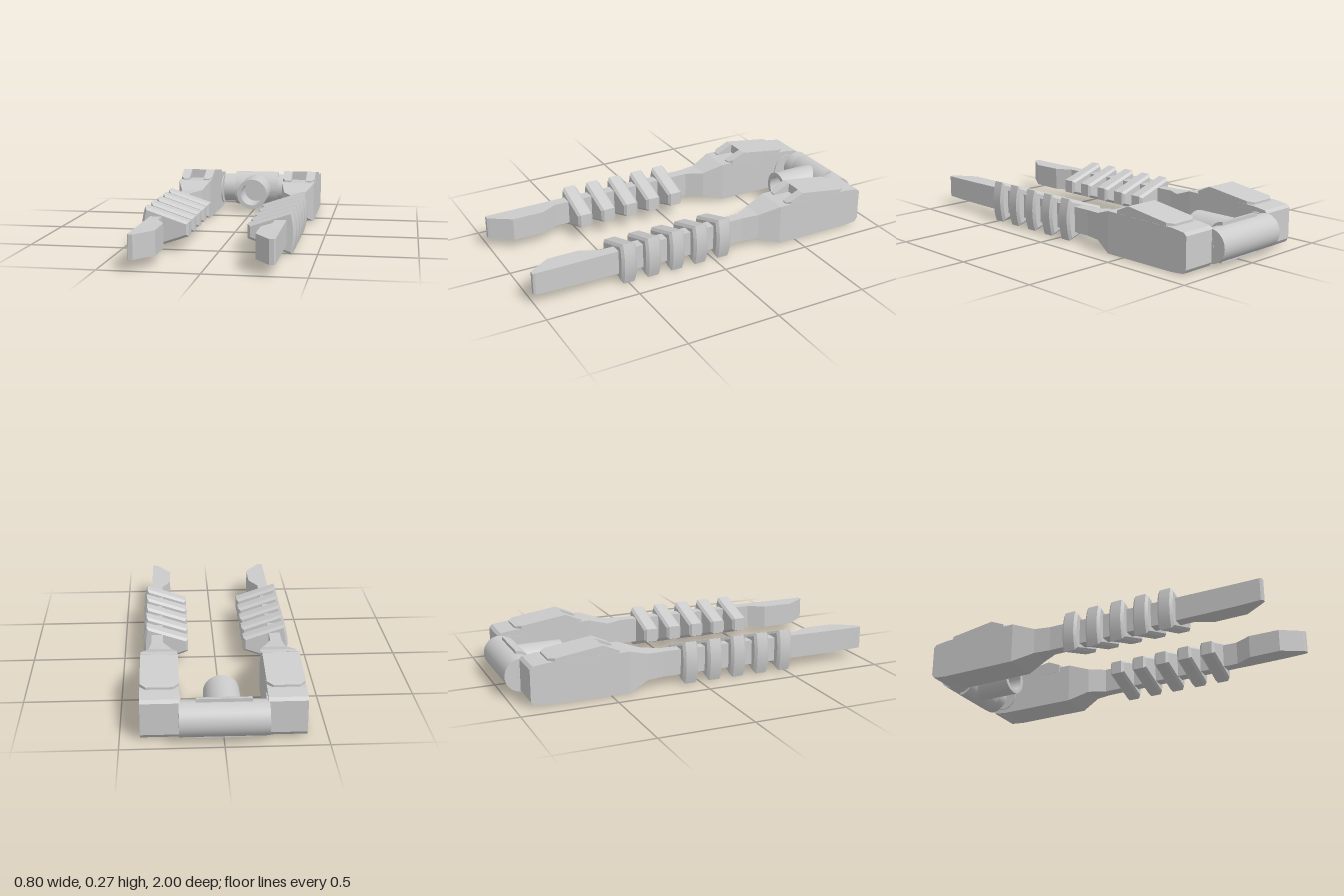
import * as THREE from 'three';
import { toCreasedNormals } from 'three/addons/utils/BufferGeometryUtils.js';

const material = new THREE.MeshStandardMaterial({ color: 0xcccccc });

function part(parent, name, geometry) {
  const mesh = new THREE.Mesh(geometry, material);
  mesh.name = name;
  parent.add(mesh);
  return mesh;
}

// Rectangular sections [z, xInner, xOuter, yBottom, yTop] joined along z
function loft(sections) {
  const pos = [];
  const rings = sections.map(([z, a, b, c, d]) => [[a, c, z], [b, c, z], [b, d, z], [a, d, z]]);
  const quad = (p, q, r, s) => pos.push(...p, ...q, ...r, ...p, ...r, ...s);
  for (let i = 0; i < rings.length - 1; i++) {
    const A = rings[i], B = rings[i + 1];
    for (let k = 0; k < 4; k++) {
      const n = (k + 1) % 4;
      quad(A[k], A[n], B[n], B[k]);
    }
  }
  const F = rings[0], L = rings[rings.length - 1];
  quad(F[3], F[2], F[1], F[0]);
  quad(L[0], L[1], L[2], L[3]);
  const g = new THREE.BufferGeometry();
  g.setAttribute('position', new THREE.Float32BufferAttribute(pos, 3));
  g.computeVertexNormals();
  return g;
}

// Tapered grip rib with bevelled edges, thickness along z
function ribGeometry() {
  const s = new THREE.Shape();
  s.moveTo(0.15, 0.083);
  s.lineTo(0.375, 0.005);
  s.quadraticCurveTo(0.412, 0.118, 0.375, 0.23);
  s.lineTo(0.15, 0.155);
  s.closePath();
  const bevel = 0.013;
  const g = new THREE.ExtrudeGeometry(s, {
    depth: 0.085 - 2 * bevel, bevelEnabled: true, bevelThickness: bevel,
    bevelSize: bevel, bevelOffset: -bevel, bevelSegments: 1, curveSegments: 6,
  });
  g.translate(0, 0, -0.0425 + bevel);
  return toCreasedNormals(g, 0.4);
}

function makeArm(name) {
  const arm = new THREE.Group();
  arm.name = name;

  // Housing, neck, shank and flared tip in one run
  part(arm, 'armBody', loft([
    [-0.92, 0.21, 0.4, 0.035, 0.2],
    [-0.905, 0.21, 0.4, 0.015, 0.215],
    [-0.83, 0.21, 0.4, 0.008, 0.225],
    [-0.4, 0.213, 0.4, 0.008, 0.228],
    [-0.285, 0.24, 0.36, 0.048, 0.19],
    [-0.195, 0.287, 0.347, 0.05, 0.187],
    [0.62, 0.287, 0.347, 0.055, 0.182],
    [0.71, 0.24, 0.347, 0.055, 0.181],
    [0.88, 0.24, 0.347, 0.057, 0.18],
    [0.99, 0.312, 0.347, 0.06, 0.18],
    [1.0, 0.32, 0.342, 0.06, 0.18],
  ]));

  // Raised cover with a slot at its front
  part(arm, 'coverPlate', loft([
    [-0.82, 0.24, 0.37, 0.2, 0.236],
    [-0.79, 0.211, 0.399, 0.2, 0.242],
    [-0.54, 0.211, 0.399, 0.2, 0.277],
  ]));
  for (const [a, b, endA, endB] of [[0.211, 0.262, 0.23, 0.262], [0.348, 0.399, 0.348, 0.38]]) {
    part(arm, 'coverProng', loft([
      [-0.54, a, b, 0.2, 0.277],
      [-0.465, a, b, 0.2, 0.244],
      [-0.445, endA, endB, 0.2, 0.234],
    ]));
  }

  const rib = ribGeometry();
  for (let i = 0; i < 5; i++) {
    part(arm, 'gripRib', rib).position.z = -0.055 + i * 0.138;
  }
  return arm;
}

export function createModel() {
  const model = new THREE.Group();
  model.name = 'forkedFrame';

  const left = makeArm('leftArm');
  const right = makeArm('rightArm');
  right.scale.x = -1;
  model.add(left, right);

  // Cross bar between the arms
  const bar = new THREE.CylinderGeometry(0.087, 0.087, 0.43, 40).rotateZ(Math.PI / 2);
  part(model, 'crossBar', bar).position.set(0, 0.115, -0.913);

  // Collars where the bar enters the arms
  for (const s of [-1, 1]) {
    const collar = new THREE.CylinderGeometry(0.085, 0.085, 0.012, 32).rotateZ(Math.PI / 2);
    part(model, 'barCollar', collar).position.set(s * 0.21, 0.115, -0.848);
  }

  // Half-round saddle wrapped on the front of the bar
  const profile = new THREE.Shape();
  profile.absellipse(0, 0, 0.09, 0.104, -Math.PI / 2, Math.PI / 2, false, 0);
  profile.closePath();
  const saddle = new THREE.ExtrudeGeometry(profile, { depth: 0.27, bevelEnabled: false, curveSegments: 24 });
  saddle.translate(0, 0, -0.135).rotateY(-Math.PI / 2);
  part(model, 'saddle', toCreasedNormals(saddle, 0.6)).position.set(0, 0.115, -0.917);

  // Hollow stem pointing forward
  const pts = [[0, 0], [0.091, 0], [0.091, 0.26], [0.068, 0.26], [0.068, 0.09], [0, 0.09]];
  const stem = new THREE.LatheGeometry(pts.map(([r, h]) => new THREE.Vector2(r, h)), 40);
  stem.rotateX(Math.PI / 2);
  part(model, 'socketStem', toCreasedNormals(stem, 0.6)).position.set(0, 0.115, -0.9);

  return model;
}
